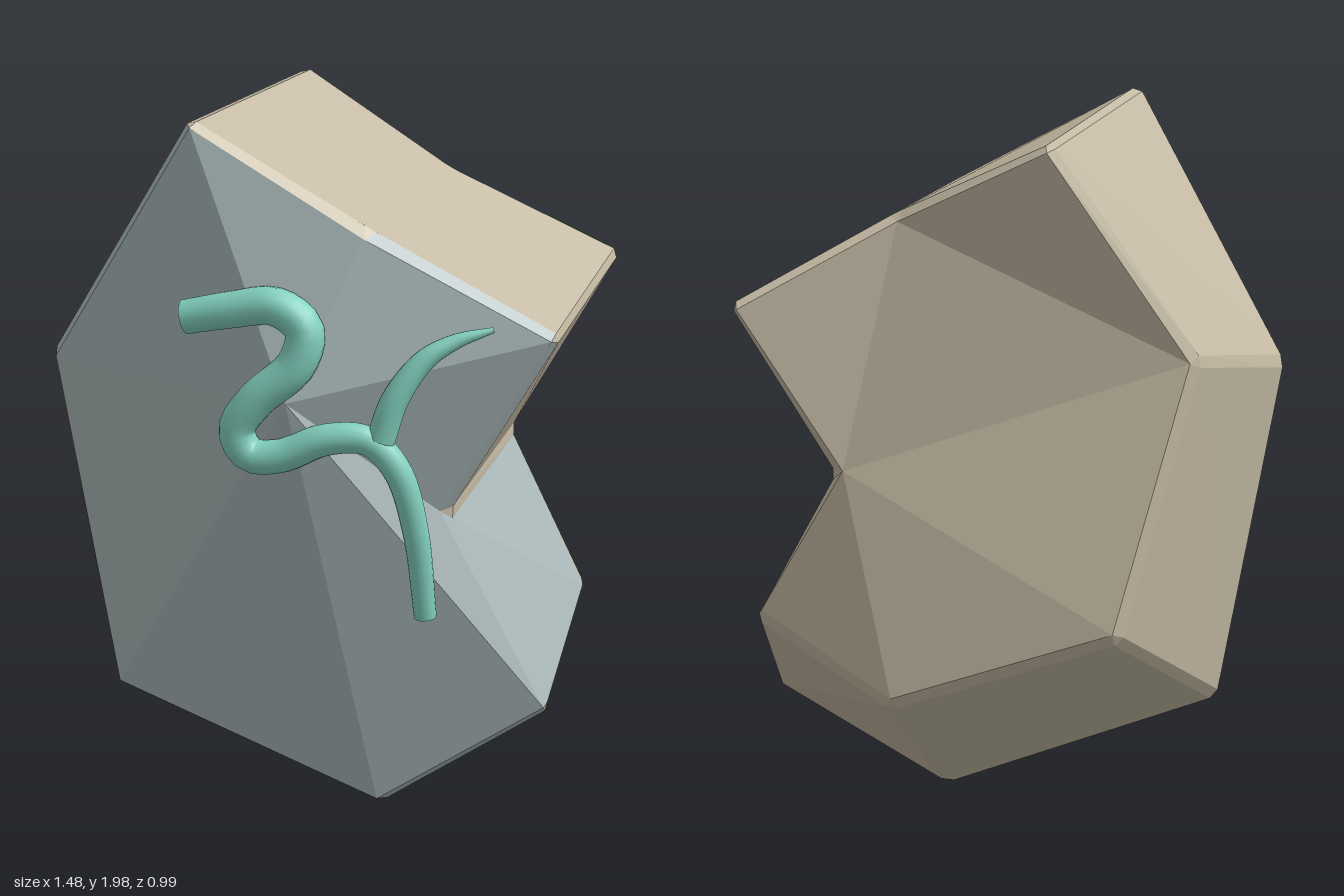
import * as THREE from 'three';

const V = (p) => new THREE.Vector3(...p);
const material = (name, color) => {
  const m = new THREE.MeshStandardMaterial({ color });
  m.name = name;
  return m;
};

// Corner loops, clockwise as seen from the front
const FRONT = [
  [-0.31, 2.01, 0.31], [0.22, 1.72, 0.3], [0.75, 1.41, 0.18], [0.42, 0.87, 0.19],
  [0.7, 0.29, 0.12], [0.22, 0, 0.19], [-0.56, 0.28, 0.15], [-0.75, 1.25, 0.18],
].map(V);
const BACK = [
  [-0.17, 1.97, -0.46], [0.29, 1.74, -0.35], [0.74, 1.49, -0.5], [0.46, 0.99, -0.36],
  [0.7, 0.56, -0.28], [0.3, 0.33, -0.4], [-0.36, 0.54, -0.42], [-0.57, 1.33, -0.29],
].map(V);
const FRONT_PEAK = V([0.02, 1.24, 0.45]);
const BACK_MIDDLE = V([0.08, 1.1, -0.4]);
const BEVEL = 0.025;

function rockGeometry() {
  const n = FRONT.length;
  const faces = [[], []]; // 0 tan, 1 blue grey
  const tri = (k, a, b, c) => {
    const area = b.clone().sub(a).cross(c.clone().sub(a)).length();
    if (area > 1e-9) [a, b, c].forEach((p) => faces[k].push(p.x, p.y, p.z));
  };
  const quad = (k, a, b, c, d) => { tri(k, a, b, c); tri(k, a, c, d); };
  const toward = (p, q, d) => p.clone().add(q.clone().sub(p).setLength(d));

  // Side rings have two points per corner, face rings repeat a single point
  const sideRing = (loop, other) => loop.flatMap((p, i) => {
    const q = toward(p, other[i], BEVEL);
    return [(i + n - 1) % n, (i + 1) % n].map((j) => toward(q, loop[j], BEVEL * 0.8));
  });
  const faceRing = (loop, middle) => loop.flatMap((p) => {
    const q = toward(p, middle, BEVEL);
    return [q, q];
  });
  const f = faceRing(FRONT, FRONT_PEAK), b = faceRing(BACK, BACK_MIDDLE);
  const sf = sideRing(FRONT, BACK), sb = sideRing(BACK, FRONT);

  for (let j = 0; j < 2 * n; j++) {
    const k = (j + 1) % (2 * n);
    const edge = j % 2 ? (j - 1) / 2 : -1; // -1 marks a corner strip
    const bevelBlue = [1, 2, 3, 4, 7].includes(edge) ? 1 : 0;
    quad(bevelBlue, f[j], f[k], sf[k], sf[j]);
    quad(edge === 3 ? 1 : 0, sf[j], sf[k], sb[k], sb[j]);
    quad(0, sb[j], sb[k], b[k], b[j]);
    tri(1, FRONT_PEAK, f[k], f[j]);
  }
  // Back facets fan out from the notch
  [[0, 1, 7], [1, 2, 3], [1, 3, 7], [3, 6, 7], [3, 5, 6], [3, 4, 5]]
    .forEach((t) => tri(0, ...t.map((i) => b[2 * i])));

  const g = new THREE.BufferGeometry();
  g.setAttribute('position', new THREE.Float32BufferAttribute(faces.flat(), 3));
  g.addGroup(0, faces[0].length / 3, 0);
  g.addGroup(faces[0].length / 3, faces[1].length / 3, 1);
  g.computeVertexNormals();
  return g;
}

// Round tube whose radius changes along its path, with flat ends
function taperedTube(name, points, radiusAt, mat) {
  const group = new THREE.Group();
  group.name = name;
  const curve = new THREE.CatmullRomCurve3(points.map(V));
  const rows = 64, sides = 16;
  const g = new THREE.TubeGeometry(curve, rows, 1, sides, false);
  const pos = g.attributes.position, p = new THREE.Vector3();
  for (let i = 0; i <= rows; i++) {
    const c = curve.getPointAt(i / rows), r = radiusAt(i / rows);
    for (let j = 0; j <= sides; j++) {
      const k = i * (sides + 1) + j;
      p.fromBufferAttribute(pos, k).sub(c).multiplyScalar(r).add(c);
      pos.setXYZ(k, p.x, p.y, p.z);
    }
  }
  const body = new THREE.Mesh(g, mat);
  body.name = name + 'Body';
  group.add(body);
  for (const t of [0, 1]) {
    const cap = new THREE.Mesh(new THREE.CircleGeometry(radiusAt(t), sides), mat);
    const c = curve.getPointAt(t);
    cap.position.copy(c);
    cap.lookAt(c.clone().addScaledVector(curve.getTangentAt(t), t ? 1 : -1));
    cap.name = name + 'End';
    group.add(cap);
  }
  return group;
}

export function createModel() {
  const model = new THREE.Group();
  model.name = 'rockFragmentWithVine';
  const tan = material('tanStone', 0xc6bba5);
  const blue = material('blueGreyStone', 0xa9b7b8);
  const teal = material('tealVine', 0x82d0bf);

  // Faceted rock
  const rock = new THREE.Mesh(rockGeometry(), [tan, blue]);
  rock.name = 'rock';
  model.add(rock);

  // Winding vine on the front
  model.add(taperedTube('vine', [
    [-0.29, 1.455, 0.39], [-0.15, 1.49, 0.4], [-0.02, 1.51, 0.405], [0.065, 1.45, 0.41],
    [0.045, 1.35, 0.425], [-0.07, 1.24, 0.44], [-0.125, 1.15, 0.44], [-0.09, 1.08, 0.435],
    [0, 1.08, 0.43], [0.13, 1.135, 0.42], [0.25, 1.135, 0.4], [0.33, 1.05, 0.385],
    [0.375, 0.87, 0.355], [0.392, 0.605, 0.31],
  ], (t) => 0.05 + 0.007 * Math.sin(Math.PI * Math.min(1, t * 2)) - 0.018 * Math.max(0, t * 2 - 1), teal));

  // Thin side shoot
  model.add(taperedTube('shoot', [
    [0.285, 1.14, 0.395], [0.325, 1.26, 0.385], [0.4, 1.37, 0.35], [0.48, 1.42, 0.31], [0.58, 1.45, 0.265],
  ], (t) => 0.042 - 0.034 * t * t, teal));

  return model;
}
